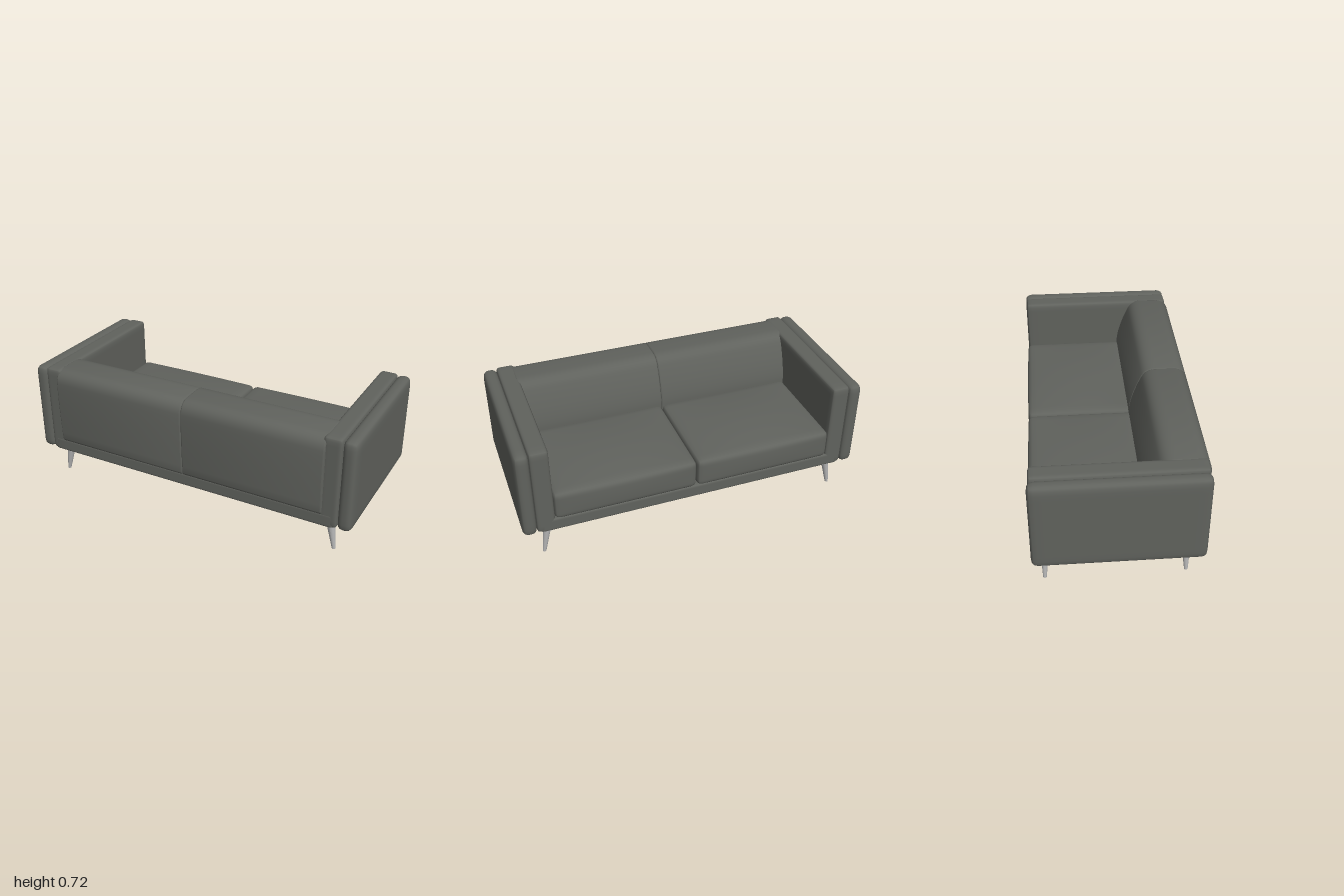
import * as THREE from 'three';
import { mergeVertices, toCreasedNormals } from 'three/addons/utils/BufferGeometryUtils.js';

const fabric = new THREE.MeshStandardMaterial({ color: 0x60625d });
fabric.name = 'grey upholstery';
const metal = new THREE.MeshStandardMaterial({ color: 0xb4b4b4 });
metal.name = 'brushed metal';

// Upholstered block between two corners: rounded edges, optional swelling per axis
function pad(name, min, max, r, crown = [0, 0, 0]) {
  const half = min.map((v, i) => (max[i] - v) / 2);
  let geo = new THREE.BoxGeometry(2, 2, 2, 16, 16, 16);
  geo.deleteAttribute('normal');
  geo.deleteAttribute('uv');
  geo = mergeVertices(geo);
  const pos = geo.attributes.position;
  const p = new THREE.Vector3(), core = new THREE.Vector3();
  const inner = new THREE.Vector3(...half).subScalar(r);
  for (let i = 0; i < pos.count; i++) {
    const n = [pos.getX(i), pos.getY(i), pos.getZ(i)].map(v => Math.sin(v * Math.PI / 2));
    p.set(n[0] * half[0], n[1] * half[1], n[2] * half[2]);
    core.copy(p).clamp(inner.clone().negate(), inner);
    p.sub(core).setLength(r).add(core);
    const f = n.map(v => 1 - v * v);
    p.x += crown[0] * n[0] * f[1] * f[2];
    p.y += crown[1] * n[1] * f[0] * f[2];
    p.z += crown[2] * n[2] * f[0] * f[1];
    pos.setXYZ(i, p.x, p.y, p.z);
  }
  geo.computeVertexNormals();
  const mesh = new THREE.Mesh(geo, fabric);
  mesh.name = name;
  mesh.position.set(...min.map((v, i) => (v + max[i]) / 2));
  return mesh;
}

// Half of the backrest: side profile (z, y) swept along x
function backHalf(side) {
  const bevel = 0.008;
  const s = new THREE.Shape();
  s.moveTo(0.44, 0.262);
  s.lineTo(0.14, 0.262);
  s.lineTo(0.14, 0.44);
  s.bezierCurveTo(0.145, 0.52, 0.185, 0.62, 0.21, 0.67);
  s.bezierCurveTo(0.225, 0.70, 0.25, 0.711, 0.29, 0.711);
  s.lineTo(0.39, 0.709);
  s.bezierCurveTo(0.435, 0.706, 0.455, 0.68, 0.458, 0.64);
  s.bezierCurveTo(0.462, 0.54, 0.458, 0.40, 0.452, 0.28);
  s.quadraticCurveTo(0.45, 0.262, 0.44, 0.262);
  const length = 0.835;
  let geo = new THREE.ExtrudeGeometry(s, {
    depth: length - 2 * bevel, bevelThickness: bevel, bevelSize: bevel,
    bevelSegments: 3, curveSegments: 10,
  });
  geo.deleteAttribute('normal');
  geo.deleteAttribute('uv');
  geo = toCreasedNormals(mergeVertices(geo), 0.7);
  geo.rotateY(-Math.PI / 2);           // profile z -> world z, sweep -> -x
  geo.translate(side > 0 ? length - bevel : -bevel, 0, 0);
  const mesh = new THREE.Mesh(geo, fabric);
  mesh.name = side > 0 ? 'backrestLeft' : 'backrestRight';
  return mesh;
}

// Splayed tapered leg with a wedge bracket running inwards under the base
function leg(name, sx, z, footZ, topR) {
  const g = new THREE.Group();
  g.name = name;
  const h = 0.19;
  const post = new THREE.CylinderGeometry(topR, 0.01, h, 24);
  post.translate(0, h / 2, 0);
  const pos = post.attributes.position;
  for (let i = 0; i < pos.count; i++) {
    const t = pos.getY(i) / h;
    pos.setX(i, pos.getX(i) + sx * (0.888 - 0.034 * t));
    pos.setZ(i, pos.getZ(i) + footZ + (z - footZ) * t);
  }
  post.computeVertexNormals();
  const postMesh = new THREE.Mesh(post, metal);
  postMesh.name = 'legPost';

  const wedge = new THREE.BoxGeometry(0.22, 0.05, 0.036);
  const wp = wedge.attributes.position;
  for (let i = 0; i < wp.count; i++) {
    if (wp.getX(i) * sx < 0) {         // thin inner tip
      wp.setZ(i, wp.getZ(i) * 0.2);
      if (wp.getY(i) < 0) wp.setY(i, 0.02);
    }
  }
  wedge.computeVertexNormals();
  const bracket = new THREE.Mesh(wedge, metal);
  bracket.name = 'legBracket';
  bracket.position.set(sx * 0.75, 0.165, z);
  g.add(postMesh, bracket);
  return g;
}

export function createModel() {
  const sofa = new THREE.Group();
  sofa.name = 'sofa';

  // Base frame under the seat
  sofa.add(pad('baseFrame', [-0.9, 0.183, -0.457], [0.9, 0.262, 0.449], 0.012));

  for (const s of [-1, 1]) {
    const label = s > 0 ? 'Left' : 'Right';
    const span = (a, b) => (s > 0 ? [a, b] : [-b, -a]);

    // Arms: outer panel and softer inner panel
    const [o0, o1] = span(0.917, 1.0);
    sofa.add(pad('armOuter' + label, [o0, 0.18, -0.464], [o1, 0.714, 0.45], 0.035));
    const [i0, i1] = span(0.815, 0.922);
    sofa.add(pad('armInner' + label, [i0, 0.184, -0.457], [i1, 0.717, 0.448], 0.022));

    // Seat cushion with a gentle crown
    const [c0, c1] = span(0.002, 0.818);
    sofa.add(pad('seatCushion' + label, [c0, 0.255, -0.464], [c1, 0.43, 0.15], 0.03, [0, 0.022, 0.006]));

    sofa.add(backHalf(s));

    // Legs
    sofa.add(leg('backLeg' + label, s, 0.357, 0.362, 0.028));
    sofa.add(leg('frontLeg' + label, s, -0.394, -0.4, 0.025));
  }
  return sofa;
}
